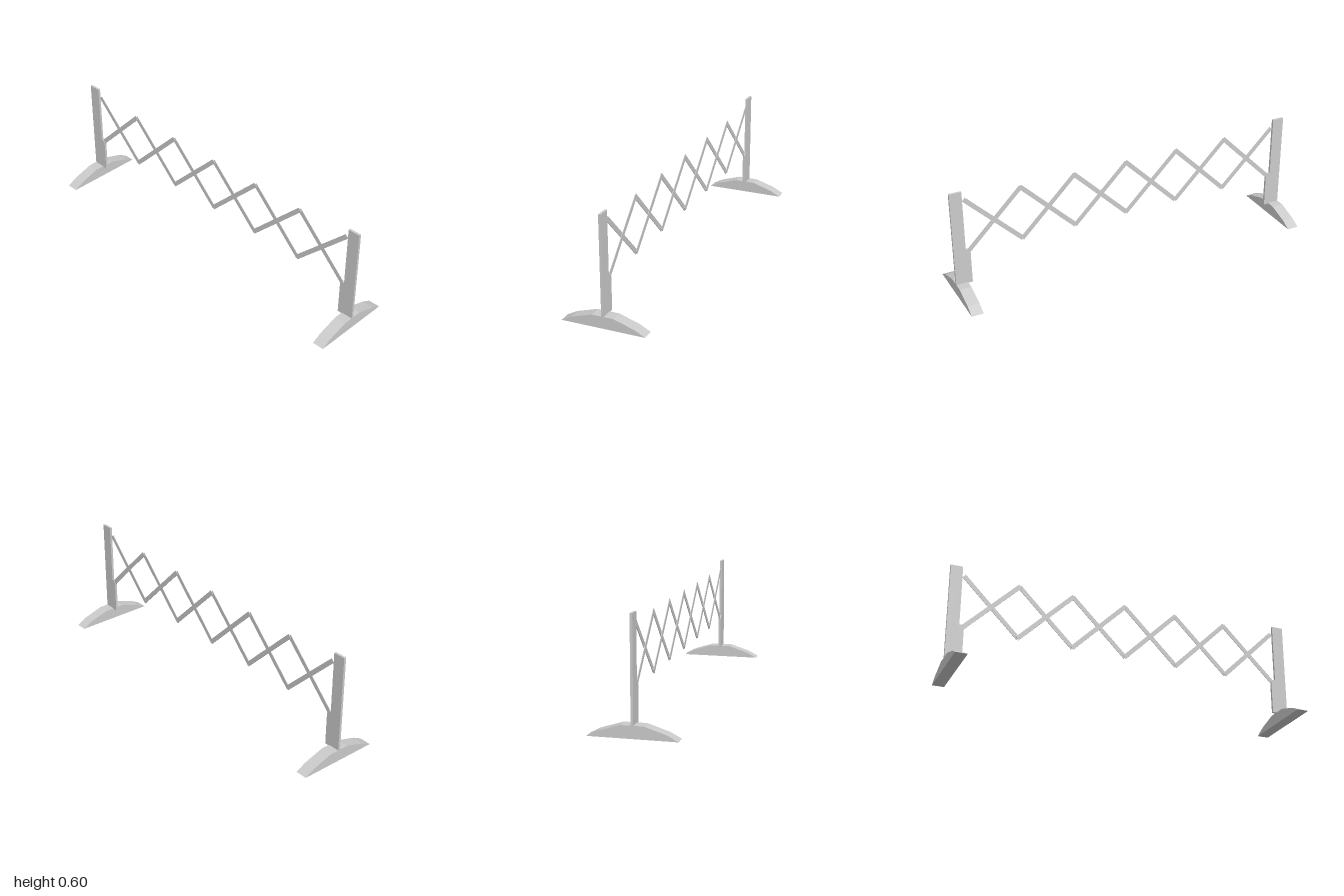
import * as THREE from 'three';

const material = new THREE.MeshStandardMaterial({ color: 0xcccccc, flatShading: true });

// Extrude an outline symmetrically about its own plane
function plate(points, depth) {
  const shape = new THREE.Shape(points.map(([a, b]) => new THREE.Vector2(a, b)));
  return new THREE.ExtrudeGeometry(shape, { depth, bevelEnabled: false }).translate(0, 0, -depth / 2);
}

function addMesh(parent, name, geometry) {
  const mesh = new THREE.Mesh(geometry, material);
  mesh.name = name;
  parent.add(mesh);
  return mesh;
}

// Upright board with a wider lower section, standing on an arched foot
function createStand(name) {
  const stand = new THREE.Group();
  stand.name = name;
  const post = plate([
    [-1, 0.06], [-0.908, 0.06], [-0.908, 0.245], [-0.92, 0.262],
    [-0.933, 0.262], [-0.933, 0.602], [-1, 0.602],
  ], 0.013).rotateY(Math.PI / 2);
  addMesh(stand, 'post', post);
  const foot = plate([
    [-0.227, 0], [0.227, 0], [0.17, 0.03], [0.058, 0.065],
    [-0.058, 0.065], [-0.17, 0.03],
  ], 0.065).translate(0, 0, 0.9675);
  addMesh(stand, 'foot', foot);
  return stand;
}

// Scissor lattice: two layers of crossed slats
function createLattice() {
  const lattice = new THREE.Group();
  lattice.name = 'lattice';
  const cells = 6, reach = 0.92, low = 0.245, high = 0.55;
  const step = (2 * reach) / cells, rise = high - low;
  const slat = new THREE.BoxGeometry(0.003, 0.025, Math.hypot(step, rise) + 0.008);
  for (let i = 0; i < cells; i++) {
    for (const side of [-1, 1]) {
      const bar = addMesh(lattice, 'slat', slat);
      bar.position.set(side * 0.0015, (low + high) / 2, -reach + (i + 0.5) * step);
      bar.rotation.x = side * Math.atan2(rise, step);
    }
  }
  return lattice;
}

export function createModel() {
  const model = new THREE.Group();
  model.name = 'expandingBarrier';
  const front = createStand('frontStand');
  const back = createStand('backStand');
  back.rotation.y = Math.PI;
  model.add(front, back, createLattice());
  return model;
}
